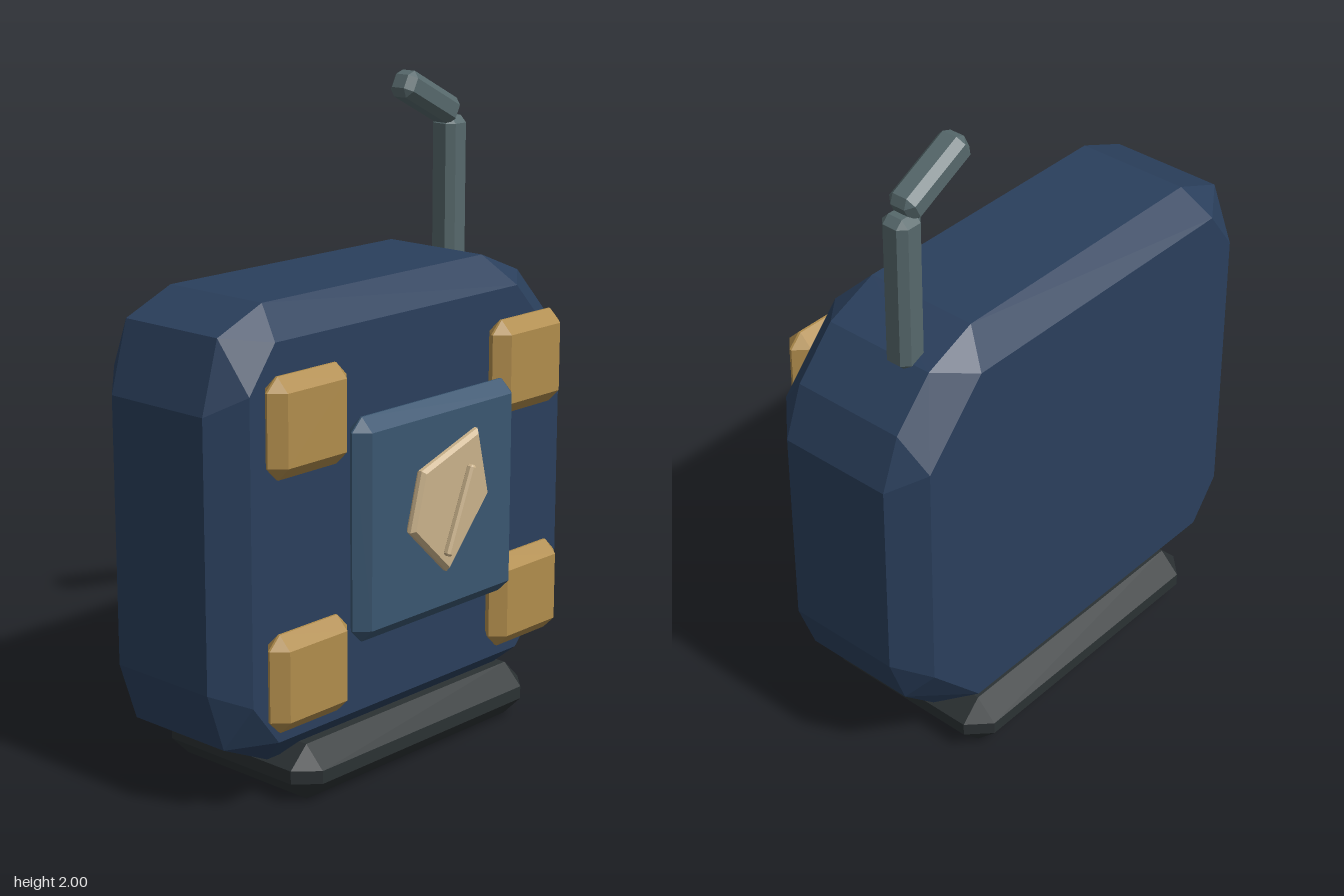
import * as THREE from 'three';
import { ConvexGeometry } from 'three/addons/geometries/ConvexGeometry.js';

const mat = (color) => new THREE.MeshStandardMaterial({ color, flatShading: true });

// Box with every edge cut by a flat chamfer b
function chamferBox(w, h, d, b) {
  const pts = [];
  for (const sx of [-1, 1]) for (const sy of [-1, 1]) for (const sz of [-1, 1]) {
    for (const [a, c, e] of [[0, b, b], [b, 0, b], [b, b, 0]]) {
      pts.push(new THREE.Vector3(sx * (w / 2 - a), sy * (h / 2 - c), sz * (d / 2 - e)));
    }
  }
  return new ConvexGeometry(pts);
}

// Solid from an outline and its inset, chamfered at the front and back
function chamferPlate(outer, inner, z0, z1, b) {
  const rings = [[inner, z0], [outer, z0 + b], [outer, z1 - b], [inner, z1]];
  const pts = rings.flatMap(([ring, z]) => ring.map(([x, y]) => new THREE.Vector3(x, y, z)));
  return new ConvexGeometry(pts);
}

export function createModel() {
  const group = new THREE.Group();
  const navy = mat(0x2a3f5c), gold = mat(0xb08c4c), steelBlue = mat(0x3a5670);
  const black = mat(0x2b3133), grey = mat(0x56686b), tan = mat(0xc9b18a);

  const add = (name, geometry, material, x = 0, y = 0, z = 0, rz = 0) => {
    const mesh = new THREE.Mesh(geometry, material);
    mesh.name = name;
    mesh.position.set(x, y, z);
    mesh.rotation.z = rz;
    group.add(mesh);
  };

  // Body: rounder corners on its left side than on its right
  const outer = [
    [-0.76, 0.39], [-0.7, 0.21], [-0.53, 0.13],
    [0.4, 0.13], [0.58, 0.2], [0.7, 0.31], [0.76, 0.47],
    [0.76, 1.1], [0.7, 1.26], [0.57, 1.4], [0.4, 1.47],
    [-0.53, 1.47], [-0.7, 1.4], [-0.76, 1.19],
  ];
  const inner = [
    [-0.67, 0.35], [-0.57, 0.22], [0.48, 0.22], [0.67, 0.42],
    [0.67, 1.155], [0.46, 1.38], [-0.57, 1.38], [-0.67, 1.245],
  ];
  add('body', chamferPlate(outer, inner, -0.335, 0.21, 0.09), navy);

  // Foot
  add('base', chamferBox(1.025, 0.17, 0.63, 0.065), black, 0.008, 0.085, -0.06);

  // Four corner blocks on the front
  const block = chamferBox(0.31, 0.29, 0.087, 0.04);
  for (const x of [-0.495, 0.448]) for (const y of [0.42, 1.155]) {
    add('cornerBlock', block, gold, x, y, 0.253);
  }

  // Front panel with plate and slim strip
  add('frontPanel', chamferBox(0.69, 0.665, 0.085, 0.04), steelBlue, 0.008, 0.798, 0.273);
  const plate = [[-0.164, 0.773], [-0.005, 0.62], [0.175, 0.825], [0.127, 1.027], [-0.117, 0.947]];
  const inset = plate.map(([x, y]) => [x * 0.93, 0.83 + (y - 0.83) * 0.93]);
  add('plate', chamferPlate(plate, inset, 0.317, 0.353, 0.012), tan);
  add('plateStrip', chamferBox(0.275, 0.024, 0.026, 0.007), tan, 0.027, 0.803, 0.362, 1.176);

  // Bent antenna
  add('antennaMast', chamferBox(0.092, 0.475, 0.092, 0.022), grey, 0.552, 1.613, -0.143);
  add('antennaTip', chamferBox(0.262, 0.087, 0.092, 0.022), grey, 0.44, 1.915, -0.143, -0.47);

  return group;
}
